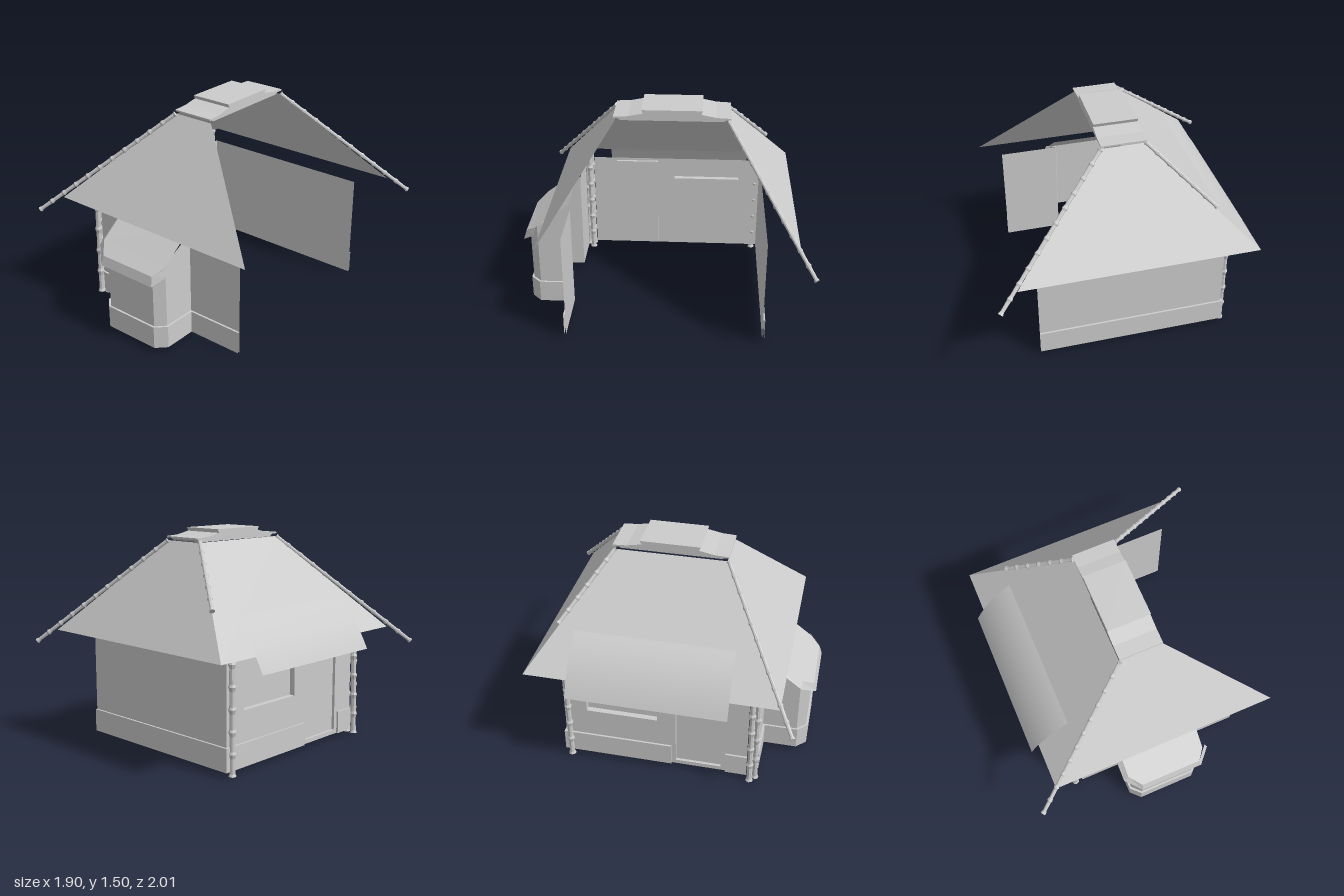
import * as THREE from 'three';

const material = new THREE.MeshStandardMaterial({ color: 0xcccccc, side: THREE.DoubleSide, flatShading: true });
const smooth = new THREE.MeshStandardMaterial({ color: 0xcccccc, side: THREE.DoubleSide });

// Sheet joining two lines of points, one quad per segment
function sheet(name, lower, upper, mat = material) {
  const n = lower.length;
  const index = [];
  for (let i = 0; i < n - 1; i++) index.push(i, i + 1, n + i, i + 1, n + i + 1, n + i);
  const g = new THREE.BufferGeometry();
  g.setAttribute('position', new THREE.Float32BufferAttribute([...lower, ...upper].flat(), 3));
  g.setIndex(index);
  g.computeVertexNormals();
  return mesh(name, g, mat);
}

function mesh(name, geometry, mat = material) {
  const m = new THREE.Mesh(geometry, mat);
  m.name = name;
  return m;
}

// Upright wall along a plan path of [x, z]; top may be a number or a function of z
function wall(name, path, y0, top) {
  const topAt = typeof top === 'function' ? top : () => top;
  return sheet(name, path.map(([x, z]) => [x, y0, z]), path.map(([x, z]) => [x, topAt(z), z]));
}

// Bamboo pole between two points, with a flare at every joint
function bamboo(name, from, to, radius, joints) {
  const a = new THREE.Vector3(...from), b = new THREE.Vector3(...to);
  const length = a.distanceTo(b), step = length / joints;
  const profile = [new THREE.Vector2(0, 0)];
  for (let i = 0; i < joints; i++) {
    profile.push(
      new THREE.Vector2(radius * 1.2, i * step),
      new THREE.Vector2(radius * 0.85, i * step + step * 0.12),
      new THREE.Vector2(radius * 0.8, i * step + step * 0.8));
  }
  profile.push(new THREE.Vector2(radius * 1.2, length), new THREE.Vector2(0, length));
  const pole = mesh(name, new THREE.LatheGeometry(profile, 8));
  pole.position.copy(a);
  pole.quaternion.setFromUnitVectors(new THREE.Vector3(0, 1, 0), b.sub(a).normalize());
  return pole;
}

// Solid with a [z, y] profile running across x
function acrossX(name, profile, x0, x1) {
  const shape = new THREE.Shape(profile.map(([z, y]) => new THREE.Vector2(-z, y)));
  const g = new THREE.ExtrudeGeometry(shape, { depth: x1 - x0, bevelEnabled: false });
  g.rotateY(Math.PI / 2);
  g.translate(x0, 0, 0);
  return mesh(name, g);
}

export function createModel() {
  const hut = new THREE.Group();
  hut.name = 'hut';
  const wallX = -0.64, baseY = 0.03, wallTop = 0.78, plinthTop = 0.19;

  // Front wall with its chamfered bay; the bay stops under the sloping hood
  const hoodY = (z) => (z > 0.66 ? Math.min(wallTop, 0.6 + (0.95 - z) * 0.75) : wallTop);
  const frontPath = (o) => [
    [-0.585, 0.65 + o], [-0.28 - o, 0.65 + o], [-0.28 - o, 0.89 + o / 2], [-0.22 - o / 2, 0.95 + o],
    [0.18 + o / 2, 0.95 + o], [0.24 + o, 0.89 + o / 2], [0.24 + o, 0.65 + o], [0.655, 0.65 + o]];
  hut.add(wall('frontWall', frontPath(0), baseY, hoodY));
  hut.add(wall('frontPlinth', frontPath(0.014), baseY, plinthTop));
  hut.add(sheet('frontPlinthLedge',
    frontPath(0.014).map(([x, z]) => [x, plinthTop, z]),
    frontPath(0).map(([x, z]) => [x, plinthTop, z])));

  // Back wall
  hut.add(wall('backWall', [[0.655, -0.7], [wallX, -0.7]], baseY, wallTop));

  // Left-hand street wall with openings, drawn in (z, y)
  const side = new THREE.Shape([
    [-0.7, baseY], [0.59, baseY], [0.59, wallTop], [-0.7, wallTop]].map((p) => new THREE.Vector2(...p)));
  const openings = [
    { name: 'door', z0: 0.09, z1: 0.41, y0: 0.06, y1: 0.76, depth: 0.02 },
    { name: 'window', z0: -0.54, z1: -0.04, y0: 0.4, y1: 0.63, depth: 0.04 }];
  for (const { name, z0, z1, y0, y1, depth } of openings) {
    const ring = [[z0, y0], [z0, y1], [z1, y1], [z1, y0], [z0, y0]];
    side.holes.push(new THREE.Path(ring.slice(0, 4).map((p) => new THREE.Vector2(...p))));
    const at = (x) => ring.map(([z, y]) => [x, y, z]);
    hut.add(sheet(name + 'Reveal', at(wallX), at(wallX + depth)));
    hut.add(sheet(name + 'Panel',
      [[wallX + depth, y0, z0], [wallX + depth, y0, z1]],
      [[wallX + depth, y1, z0], [wallX + depth, y1, z1]]));
  }
  const sideGeometry = new THREE.ShapeGeometry(side);
  sideGeometry.rotateY(-Math.PI / 2);
  sideGeometry.translate(wallX, 0, 0);
  hut.add(mesh('sideWall', sideGeometry));

  // Plinths round the back and on each side of the door
  const o = 0.014;
  const plinths = [
    [[[0.655, -0.7 - o], [wallX - o, -0.7 - o], [wallX - o, 0.06], [wallX, 0.06]],
      [[0.655, -0.7], [wallX, -0.7], [wallX, 0.06], [wallX, 0.06]]],
    [[[wallX, 0.44], [wallX - o, 0.44], [wallX - o, 0.59]],
      [[wallX, 0.44], [wallX, 0.44], [wallX, 0.59]]]];
  for (const [outer, inner] of plinths) {
    hut.add(wall('plinth', outer, baseY, plinthTop));
    hut.add(sheet('plinthLedge',
      outer.map(([x, z]) => [x, plinthTop, z]), inner.map(([x, z]) => [x, plinthTop, z])));
  }

  // Three roof slopes, open on the fourth side
  const eave = [[0.81, 0.78, 0.8], [-0.8, 0.78, 0.8], [-0.8, 0.78, -0.91], [0.81, 0.78, -0.91]];
  const ridge = [[0.16, 1.42, 0.33], [-0.14, 1.42, 0.33], [-0.14, 1.42, -0.43], [0.16, 1.42, -0.43]];
  ['roofFront', 'roofSide', 'roofBack'].forEach((name, i) =>
    hut.add(sheet(name, eave.slice(i, i + 2), ridge.slice(i, i + 2))));

  // Ridge cap: flared upper piece on a tapered base
  const flare = [[0.15, 1.5], [0.14, 1.475], [0.19, 1.465], [0.24, 1.455], [0.34, 1.45], [0.34, 1.44]];
  const mirrorZ = (p) => p.map(([z, y]) => [-0.11 - z, y]).reverse();
  acrossParts(hut, flare, mirrorZ);

  // Bamboo along the hips
  hut.add(bamboo('hipPoleFront', [-0.14, 1.42, 0.34], [-0.94, 0.68, 0.9], 0.016, 11));
  hut.add(bamboo('hipPoleBackShort', [-0.14, 1.425, -0.43], [-0.545, 1.045, -0.725], 0.016, 6));
  hut.add(bamboo('hipPoleBack', [0.16, 1.42, -0.44], [0.935, 0.695, -0.995], 0.016, 11));

  // Bamboo corner posts
  hut.add(bamboo('cornerPost', [-0.665, 0, 0.615], [-0.645, 0.86, 0.61], 0.022, 6));
  hut.add(bamboo('cornerPost', [-0.635, 0.01, 0.65], [-0.625, 0.87, 0.645], 0.022, 5));
  hut.add(bamboo('cornerPost', [-0.605, 0, 0.615], [-0.59, 0.86, 0.62], 0.022, 6));
  hut.add(bamboo('cornerPost', [-0.66, 0, -0.665], [-0.66, 0.87, -0.67], 0.022, 6));

  // Curved awning over the window and door
  const arc = new THREE.QuadraticBezierCurve(
    new THREE.Vector2(-0.57, 1.025), new THREE.Vector2(-0.755, 0.9), new THREE.Vector2(-0.86, 0.675)).getPoints(12);
  hut.add(sheet('awning',
    arc.map((p) => [p.x, p.y, -0.61]), arc.map((p) => [p.x, p.y, 0.475]), smooth));

  // Bay hood: sloping panel with a turned-out rim
  const inner = [[-0.31, 0.82, 0.66], [-0.31, 0.645, 0.895], [-0.235, 0.585, 0.975],
    [0.2, 0.585, 0.975], [0.25, 0.635, 0.905], [0.25, 0.82, 0.66]];
  const outer = [[-0.345, 0.785, 0.66], [-0.345, 0.6, 0.9], [-0.24, 0.52, 0.995],
    [0.21, 0.52, 0.995], [0.29, 0.595, 0.905]];
  const lip = [...inner.slice(0, 4), [0.27, 0.645, 0.895]];
  hut.add(sheet('hoodPanel', inner.slice(0, 3), inner.slice(3).reverse()));
  hut.add(sheet('hoodRim', outer, lip));
  return hut;
}

// Cap pieces, symmetrical about the middle of the ridge
function acrossParts(group, flare, mirrorZ) {
  group.add(acrossX('ridgeCap', [...flare, ...mirrorZ(flare)], -0.14, 0.16));
  const base = [[0.33, 1.445], [0.29, 1.42]];
  group.add(acrossX('ridgeBase', [...base, ...mirrorZ(base)], -0.12, 0.145));
}
